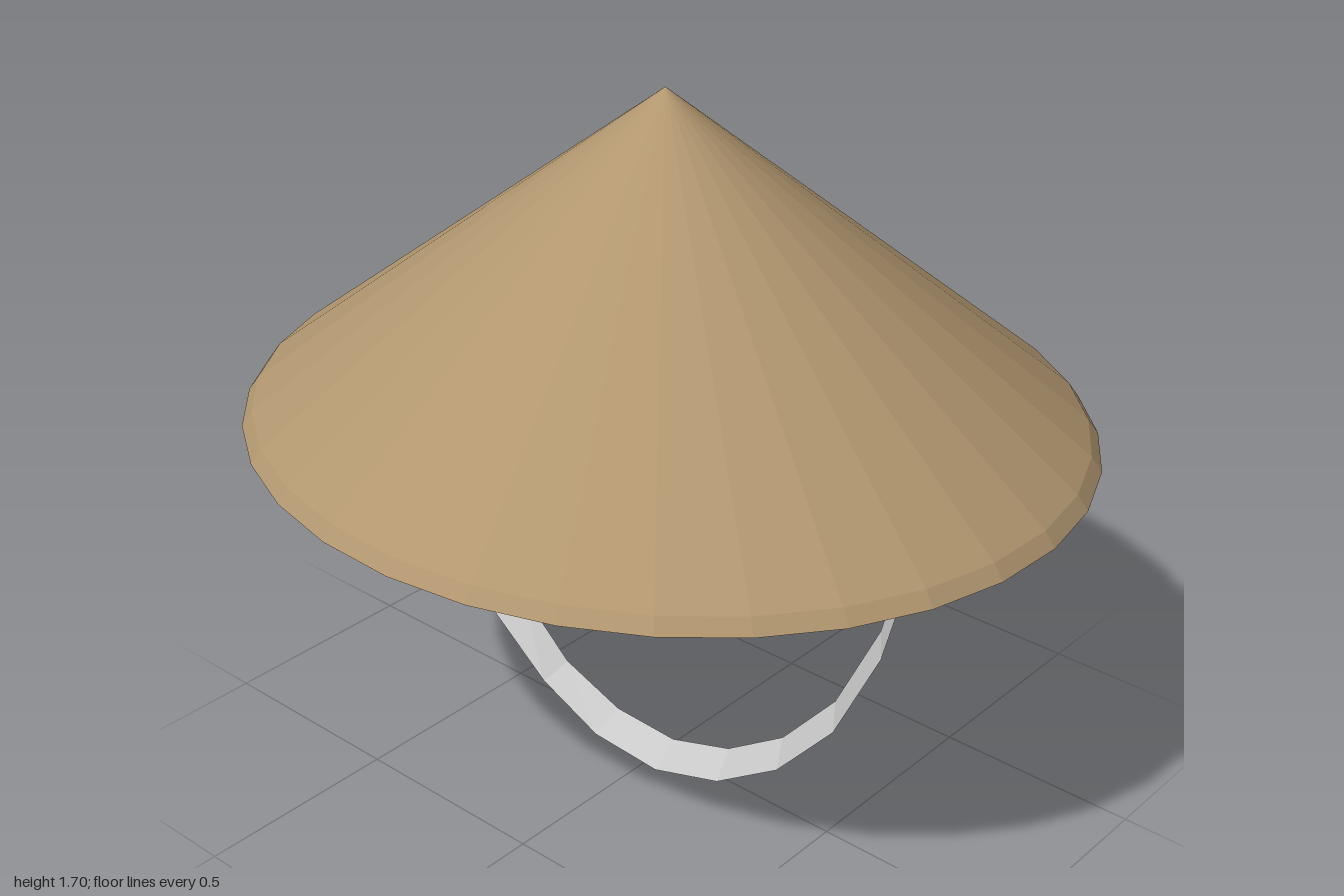
import * as THREE from 'three';

const SIDES = 32;
const DEPTH = 0.91; // the hat is slightly oval

export function createModel() {
  const model = new THREE.Group();
  const straw = new THREE.MeshStandardMaterial({ color: 0xb1966f, flatShading: true });
  straw.name = 'straw';
  const cloth = new THREE.MeshStandardMaterial({ color: 0xc8c8c8, flatShading: true, side: THREE.DoubleSide });
  cloth.name = 'grey strap cloth';

  // Revolve a [radius, height] profile; rising profiles face outward
  const revolve = (name, profile) => {
    const points = profile.map(([r, y]) => new THREE.Vector2(r, y));
    const geometry = new THREE.LatheGeometry(points, SIDES, 0.062);
    geometry.scale(1, 1, DEPTH);
    const mesh = new THREE.Mesh(geometry, straw);
    mesh.name = name;
    return mesh;
  };

  // Conical hat: outer cone, bevelled rim and hollow inside
  const hat = new THREE.Group();
  hat.name = 'hat';
  hat.add(
    revolve('outerCone', [[0.975, 0.968], [0, 1.7]]),
    revolve('rim', [[1, 0.935], [0.975, 0.968]]),
    revolve('innerCrown', [[0, 1.65], [0.613, 1.205]]),
    revolve('innerBrim', [[0.613, 1.205], [1, 0.935]])
  );
  model.add(hat);

  // Chin strap: a flat ribbon, each row is front edge x, y and back edge x, y
  const rows = [
    [-0.772, 1.08, -0.718, 1.09],
    [-0.76, 0.985, -0.706, 0.99],
    [-0.725, 0.72, -0.68, 0.735],
    [-0.635, 0.44, -0.59, 0.465],
    [-0.505, 0.235, -0.46, 0.265],
    [-0.33, 0.095, -0.31, 0.13],
    [-0.155, 0.015, -0.14, 0.065],
    [0.04, 0.0, 0.04, 0.055],
    [0.23, 0.055, 0.21, 0.105],
    [0.4, 0.165, 0.365, 0.205],
    [0.545, 0.33, 0.5, 0.36],
    [0.65, 0.56, 0.6, 0.58],
    [0.71, 0.83, 0.655, 0.845],
    [0.71, 1.12, 0.655, 1.13]
  ];
  const positions = [];
  const indices = [];
  rows.forEach(([fx, fy, bx, by], i) => {
    // The left side leans backward as it rises
    const z = fx > 0 ? 0.083 - 0.088 * fy : 0.085;
    positions.push(fx, fy, z, bx, by, z - 0.066);
    if (i > 0) {
      const a = 2 * i - 2;
      indices.push(a, a + 2, a + 1, a + 1, a + 2, a + 3);
    }
  });
  const ribbon = new THREE.BufferGeometry();
  ribbon.setAttribute('position', new THREE.Float32BufferAttribute(positions, 3));
  ribbon.setIndex(indices);
  ribbon.computeVertexNormals();
  const strap = new THREE.Mesh(ribbon, cloth);
  strap.name = 'chinStrap';
  model.add(strap);

  return model;
}
